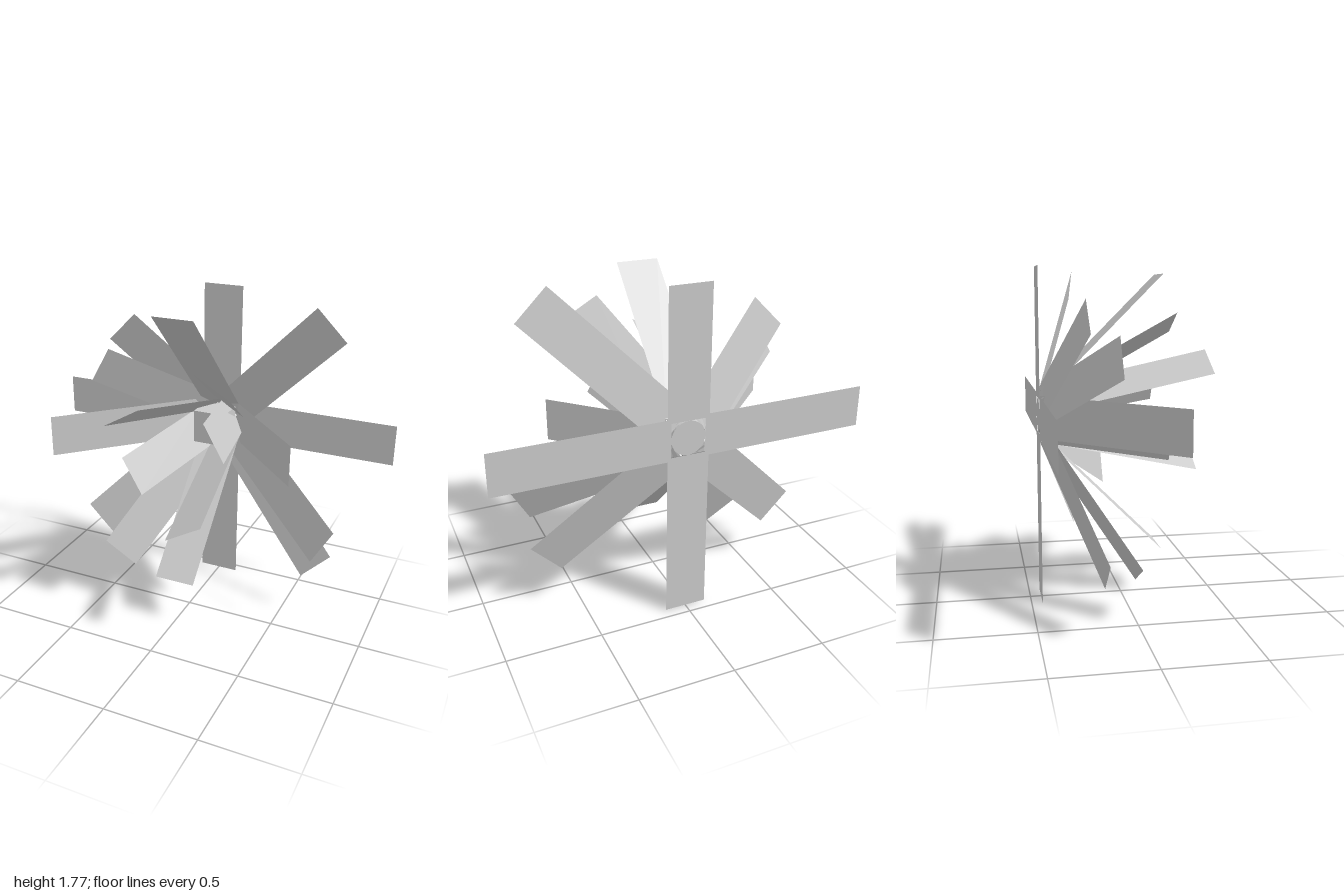
import * as THREE from 'three';

const HUB_R = 0.0925;   // petals are rooted on this radius
const WIDTH = 0.225;
const LENGTH = 0.907;
const SHORT = 0.75;     // length factor of the shorter petals

// Each ring: lean towards the front, root depth, petal directions (degrees), shorter ones
const RINGS = [
  { tilt: 0, z: -0.442, angles: [0, 90, 180, 270], short: [90] },
  { tilt: 16, z: -0.434, angles: [45, 135, 225, 315], short: [135] },
  { tilt: 30, z: -0.438, angles: [150, 240, 330], short: [150] },
  { tilt: 45, z: -0.437, angles: [0, 90, 180, 270], short: [0] },
  { tilt: 60, z: -0.432, angles: [60], short: [] },
  { tilt: 75, z: -0.432, angles: [30, 120, 210, 300], short: [30, 210] },
];

export function createModel() {
  const model = new THREE.Group();
  model.name = 'flower';
  const material = new THREE.MeshStandardMaterial({ color: 0xcccccc, side: THREE.DoubleSide, flatShading: true });
  const rad = THREE.MathUtils.degToRad;

  // Flat petal strips, each leaning forward about its root edge
  RINGS.forEach((ring, i) => {
    const group = new THREE.Group();
    group.name = `petalRing${i + 1}`;
    for (const angle of ring.angles) {
      const length = LENGTH * (ring.short.includes(angle) ? SHORT : 1);
      const geometry = new THREE.PlaneGeometry(length, WIDTH)
        .translate(length / 2, 0, 0)
        .rotateY(-rad(ring.tilt))
        .translate(HUB_R, 0, 0)
        .rotateZ(rad(angle));
      const petal = new THREE.Mesh(geometry, material);
      petal.name = 'petal';
      petal.position.set(0, 1.0, ring.z);
      group.add(petal);
    }
    model.add(group);
  });

  // Round base disc at the back
  const base = new THREE.Mesh(
    new THREE.CylinderGeometry(HUB_R, HUB_R, 0.03, 32).rotateX(Math.PI / 2), material);
  base.name = 'hubBase';
  base.position.set(0, 1.0, -0.427);
  model.add(base);

  // Square heart in the middle
  const heart = new THREE.Mesh(new THREE.BoxGeometry(HUB_R * 2, HUB_R * 2, 0.16), material);
  heart.name = 'heart';
  heart.position.set(0, 1.0, -0.34);
  model.add(heart);

  return model;
}
